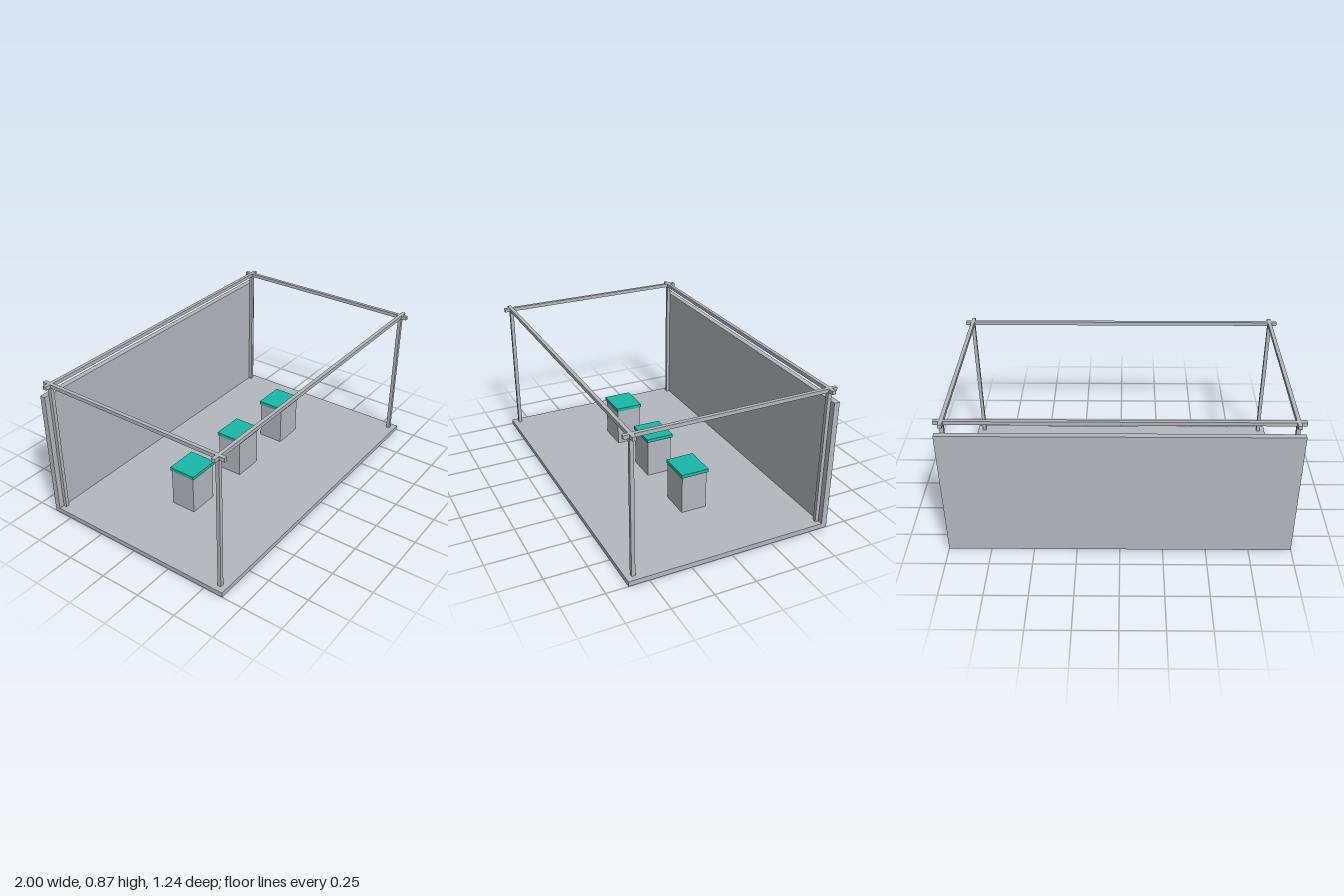
import * as THREE from 'three';

export function createModel() {
  const model = new THREE.Group();
  model.name = 'exhibitionBooth';

  const grey = new THREE.MeshStandardMaterial({ color: 0xb4b8be });
  grey.name = 'light grey';
  const teal = new THREE.MeshStandardMaterial({ color: 0x18b8a6 });
  teal.name = 'teal';

  // Box standing on height y, centred on x and z
  function box(name, material, [w, h, d], [x, y, z], parent = model) {
    const mesh = new THREE.Mesh(new THREE.BoxGeometry(w, h, d), material);
    mesh.name = name;
    mesh.position.set(x, y + h / 2, z);
    parent.add(mesh);
    return mesh;
  }

  const length = 2, depth = 1.244, floorH = 0.03, top = 0.874;
  const bar = 0.022, barX = 0.956, barZ = 0.578;
  const wallT = 0.034;

  // Floor and back wall
  box('floor', grey, [length, floorH, depth], [0, 0, 0]);
  box('backWall', grey, [length, 0.8 - floorH, wallT], [0, floorH, -depth / 2 + wallT / 2]);

  // Open frame: corner posts and top rails that run past the corners
  const frame = new THREE.Group();
  frame.name = 'frame';
  model.add(frame);
  for (const s of [-1, 1]) {
    box('longRail', grey, [length, bar, bar], [0, top - bar, s * barZ], frame);
    box('sideRail', grey, [bar, bar, depth], [s * barX, top - bar, 0], frame);
    for (const t of [-1, 1]) {
      box('post', grey, [bar, top - floorH, bar], [s * barX, floorH, t * barZ], frame);
    }
  }

  // Row of three display plinths with coloured tops
  for (const x of [-0.461, 0, 0.461]) {
    const plinth = new THREE.Group();
    plinth.name = 'plinth';
    plinth.position.x = x;
    model.add(plinth);
    box('plinthBody', grey, [0.188, 0.237, 0.158], [-0.002, floorH, 0.001], plinth);
    box('plinthTop', teal, [0.2, 0.021, 0.172], [0, 0.267, 0], plinth);
  }

  return model;
}
